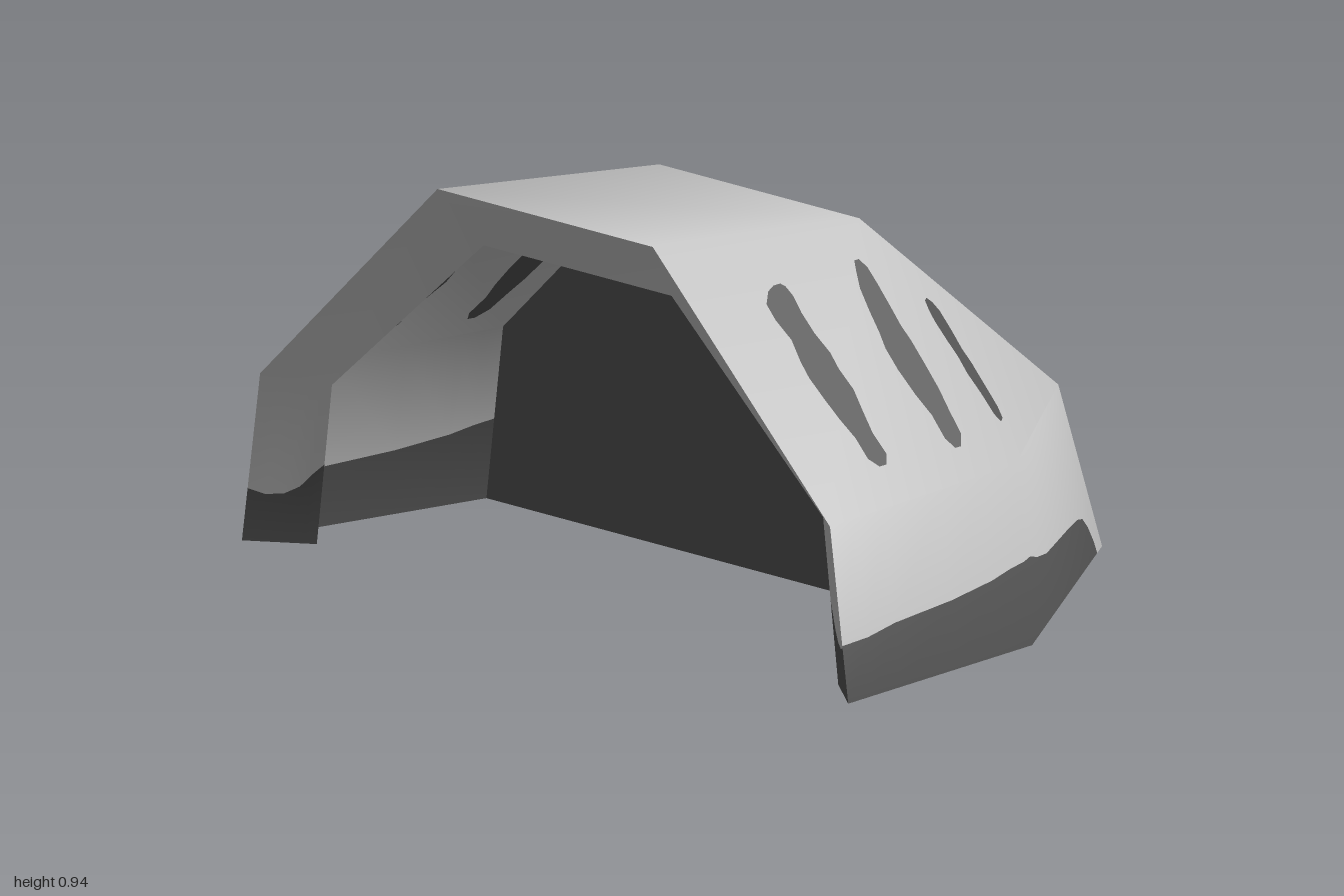
import * as THREE from 'three';

const shellMat = new THREE.MeshStandardMaterial({ color: 0xc4c4c4, side: THREE.DoubleSide });
shellMat.name = 'light grey';
const darkMat = new THREE.MeshStandardMaterial({ color: 0x535353, side: THREE.DoubleSide });
darkMat.name = 'dark grey';

const vec = (p) => new THREE.Vector3(...p);
const mirrorX = ([x, y, z]) => [-x, y, z];
const flip = (trim) => trim.map(([u, h]) => [1 - u, h]).reverse();

// Smooth surface from corner points; faces with a trim line [u, height] are split into two colours
function trimmedSurface(name, points, faces) {
  const coarse = new THREE.BufferGeometry();
  coarse.setAttribute('position', new THREE.Float32BufferAttribute(points.flat(), 3));
  coarse.setIndex(faces.flatMap(({ ids: [a, b, c, d] }) =>
    d === undefined ? [a, b, c] : [a, b, c, a, c, d]));
  coarse.computeVertexNormals();
  const corners = points.map((p, i) => ({
    p: vec(p), n: new THREE.Vector3().fromBufferAttribute(coarse.attributes.normal, i),
  }));
  const mix = (a, b, t) => ({ p: a.p.clone().lerp(b.p, t), n: a.n.clone().lerp(b.n, t).normalize() });
  const parts = [[], []];
  const quad = (list, a, b, c, d) => list.push(a, b, c, a, c, d);

  for (const { ids, trim } of faces) {
    const [a, b, c, d] = ids.map((i) => corners[i]);
    if (!d) parts[0].push(a, b, c);
    else if (!trim) quad(parts[0], a, b, c, d);
    else {
      const columns = trim.map(([u, h]) => {
        const low = mix(a, b, u), high = mix(d, c, u);
        return [low, mix(low, high, h / high.p.y), high];
      });
      for (let i = 0; i + 1 < columns.length; i++) {
        const [l0, m0, h0] = columns[i], [l1, m1, h1] = columns[i + 1];
        quad(parts[0], m0, m1, h1, h0);
        if (trim[i][1] + trim[i + 1][1] > 0) quad(parts[1], l0, l1, m1, m0);
      }
    }
  }
  const all = parts.flat();
  const geo = new THREE.BufferGeometry();
  geo.setAttribute('position', new THREE.Float32BufferAttribute(all.flatMap((v) => v.p.toArray()), 3));
  geo.setAttribute('normal', new THREE.Float32BufferAttribute(all.flatMap((v) => v.n.toArray()), 3));
  geo.addGroup(0, parts[0].length, 0);
  geo.addGroup(parts[0].length, parts[1].length, 1);
  const mesh = new THREE.Mesh(geo, [shellMat, darkMat]);
  mesh.name = name;
  return mesh;
}

// Wavy stripe of [y, z centre, half width] rows laid on the plane through three points
function stripe(name, rows, planePoints, side) {
  const plane = new THREE.Plane().setFromCoplanarPoints(...planePoints.map(vec));
  const { normal: n, constant } = plane;
  const group = new THREE.Group();
  group.name = name;
  for (const lift of [0.004, -0.004]) {
    const pos = [], index = [];
    rows.forEach(([y, z, w], i) => {
      for (const zz of [z + w, z - w]) {
        const x = -(constant + n.y * y + n.z * zz) / n.x;
        pos.push(side * (x + lift * Math.sign(n.x) * n.x), y + lift * Math.abs(n.y), zz + lift * n.z * Math.sign(n.x));
      }
      const k = 2 * i;
      if (i) index.push(k - 2, k - 1, k + 1, k - 2, k + 1, k);
    });
    if (side < 0) index.reverse();
    const geo = new THREE.BufferGeometry();
    geo.setAttribute('position', new THREE.Float32BufferAttribute(pos, 3));
    geo.setIndex(index);
    geo.computeVertexNormals();
    const mesh = new THREE.Mesh(geo, darkMat);
    mesh.name = lift > 0 ? 'outerStripe' : 'innerStripe';
    group.add(mesh);
  }
  return group;
}

export function createModel() {
  const model = new THREE.Group();
  model.name = 'shell';

  // Corner points of one half: base, knuckle and roof
  const base = [[1, 0, 0.69], [0.9, 0, 0.03], [0.36, 0, -0.69]];
  const knuckle = [[0.94, 0.4, 0.69], [0.845, 0.41, 0.03], [0.36, 0.4, -0.555]];
  const roof = [[0.355, 0.94, 0.69], [0.33, 0.885, 0.03]];
  const around = (half) => [...half, ...half.map(mirrorX).reverse()];

  // Dark lower edge along each wall
  const frontTrim = [[0, 0.13], [0.14, 0.132], [0.29, 0.145], [0.6, 0.155], [0.82, 0.17], [0.92, 0.183], [1, 0.19]];
  const sideTrim = [[0, 0.19], [0.09, 0.182], [0.2, 0.158], [0.33, 0.138], [0.48, 0.13], [0.64, 0.122],
    [0.8, 0.112], [0.86, 0.1], [0.9, 0.07], [0.925, 0.03], [0.93, 0], [1, 0]];
  const backTrim = [[0, 0], [0.09, 0], [0.12, 0.028], [0.17, 0.04], [0.22, 0.028], [0.25, 0],
    [0.71, 0], [0.74, 0.025], [0.8, 0.035], [0.85, 0.025], [0.87, 0], [1, 0]];

  // Outer shell: 0-5 base, 6-11 knuckle, 12-15 roof
  model.add(trimmedSurface('outerShell', [...around(base), ...around(knuckle), ...around(roof)], [
    { ids: [0, 1, 7, 6], trim: frontTrim },
    { ids: [1, 2, 8, 7], trim: sideTrim },
    { ids: [2, 3, 9, 8], trim: backTrim },
    { ids: [3, 4, 10, 9], trim: flip(sideTrim) },
    { ids: [4, 5, 11, 10], trim: flip(frontTrim) },
    { ids: [6, 7, 13, 12] }, { ids: [7, 8, 13] }, { ids: [8, 9, 14, 13] },
    { ids: [9, 10, 14] }, { ids: [10, 11, 15, 14] }, { ids: [13, 14, 15, 12] },
  ]));

  // Front rim sloping inwards: 0-5 outer edge, 6-11 inner edge
  const outer = around([base[0], knuckle[0], roof[0]]);
  const inner = around([[0.86, 0, 0.59], [0.81, 0.38, 0.59], [0.31, 0.8, 0.59]]);
  const legTrim = [[0, 0.19], [0.15, 0.165], [0.3, 0.135], [0.5, 0.117], [0.75, 0.113], [1, 0.125]];
  model.add(trimmedSurface('frontRim', [...outer, ...inner], [
    { ids: [6, 0, 1, 7], trim: legTrim },
    { ids: [1, 2, 8, 7] }, { ids: [2, 3, 9, 8] }, { ids: [3, 4, 10, 9] },
    { ids: [5, 11, 10, 4], trim: flip(legTrim) },
  ]));

  // Upright wall inside
  const wallShape = new THREE.Shape(around([base[1], knuckle[1], roof[1]]).map(([x, y]) => new THREE.Vector2(x, y)));
  const wall = new THREE.Mesh(new THREE.ShapeGeometry(wallShape), darkMat);
  wall.name = 'innerWall';
  wall.position.z = 0.03;
  model.add(wall);

  // Three wavy stripes on each shoulder
  const shoulder = [knuckle[0], knuckle[1], roof[1]];
  const corner = [knuckle[1], knuckle[2], roof[1]];
  const stripes = [
    ['frontStripe', shoulder, [[0.472, 0.425, 0.012], [0.49, 0.425, 0.032], [0.53, 0.425, 0.03], [0.57, 0.425, 0.042],
      [0.61, 0.422, 0.052], [0.65, 0.427, 0.052], [0.68, 0.422, 0.052], [0.72, 0.42, 0.04], [0.76, 0.425, 0.045],
      [0.79, 0.42, 0.047], [0.81, 0.408, 0.03], [0.817, 0.4, 0.012]]],
    ['middleStripe', shoulder, [[0.465, 0.17, 0.01], [0.485, 0.165, 0.028], [0.53, 0.158, 0.03], [0.57, 0.158, 0.04],
      [0.62, 0.158, 0.045], [0.66, 0.155, 0.045], [0.69, 0.15, 0.038], [0.73, 0.142, 0.035], [0.77, 0.133, 0.03],
      [0.8, 0.122, 0.02], [0.818, 0.12, 0.008]]],
    ['rearStripe', corner, [[0.472, -0.05, 0.012], [0.49, -0.05, 0.026], [0.53, -0.053, 0.028], [0.57, -0.052, 0.034],
      [0.6, -0.054, 0.028], [0.635, -0.056, 0.034], [0.67, -0.057, 0.036], [0.69, -0.055, 0.026], [0.704, -0.052, 0.01]]],
  ];
  for (const side of [1, -1]) {
    for (const [name, plane, rows] of stripes) {
      model.add(stripe((side > 0 ? 'left ' : 'right ') + name, rows, plane, side));
    }
  }
  return model;
}
